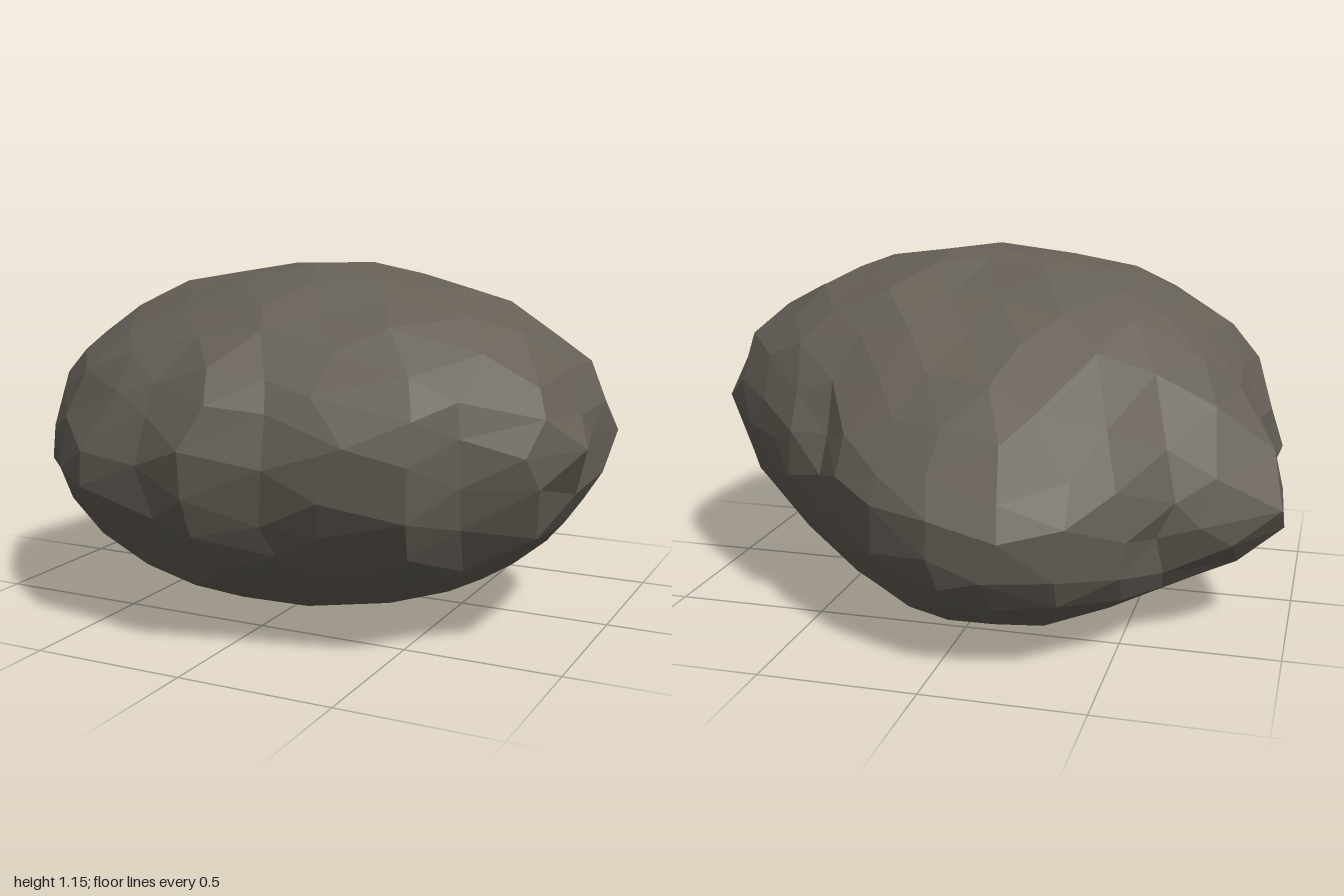
import * as THREE from 'three';

// Plan outline of the main mass at its widest, as [x, z]
const outline = [
  [-0.13, -0.95], [0.08, -0.88], [0.3, -0.77], [0.45, -0.59], [0.64, -0.49], [0.72, -0.4], [0.89, -0.22],
  [0.99, -0.1], [0.96, 0.2], [1.01, 0.37], [0.92, 0.5], [0.74, 0.65], [0.66, 0.79], [0.36, 0.87],
  [0.17, 0.88], [0.02, 0.95], [-0.22, 0.88], [-0.43, 0.85], [-0.58, 0.77], [-0.71, 0.61], [-0.84, 0.48],
  [-0.93, 0.36], [-0.88, 0.1], [-0.86, -0.08], [-0.82, -0.28], [-0.73, -0.42], [-0.6, -0.56], [-0.51, -0.81],
];
const TAU = Math.PI * 2;
const polar = outline
  .map(([x, z]) => ({ a: (Math.atan2(z, x) + TAU) % TAU, r: Math.hypot(x, z) }))
  .sort((p, q) => p.a - q.a);

// Outline radius at an angle, interpolated between neighbouring points
function planRadius(angle) {
  const a = (angle + TAU) % TAU;
  const n = polar.length;
  const i = Math.max(0, polar.findIndex((p) => p.a > a));
  const q = polar[i], p = polar[(i + n - 1) % n];
  const t = ((a - p.a + TAU) % TAU) / ((q.a - p.a + TAU) % TAU);
  return p.r + (q.r - p.r) * t;
}

// Repeatable jitter from a direction, -1 to 1, identical for shared corners
function jitter(d, seed) {
  const k = Math.round(d.x * 500) * 12.9898 + Math.round(d.y * 500) * 78.233 + Math.round(d.z * 500) * 37.719;
  const s = Math.sin(k + seed * 91.7) * 43758.5453;
  return (s - Math.floor(s)) * 2 - 1;
}

// Soft weight around a centre value
const bell = (v, centre, width) => Math.exp(-(((v - centre) / width) ** 2));

// Maps a direction on the unit sphere to the rock surface
function rockPoint(d) {
  const j = new THREE.Vector3(jitter(d, 1), jitter(d, 2), jitter(d, 3)).multiplyScalar(0.04);
  const v = d.clone().add(j).normalize();
  const angle = (Math.atan2(v.z, v.x) + TAU) % TAU;
  const cos = Math.cos(angle), sin = Math.sin(angle);
  const back = Math.max(0, -sin) ** 2;
  const right = Math.max(0, -cos) ** 2;
  const s = Math.abs(v.y), c = Math.hypot(v.x, v.z);
  const waist = 0.54 + 0.1 * cos + 0.06 * sin;
  const blend = s ** 4;
  const plan = planRadius(angle) * (1 - blend) + 0.93 * blend;

  // Back slopes from the crown; the front right corner is cut away below
  const undercut = bell(angle, 2.6, 0.4);
  const power = v.y > 0 ? 2 - 0.65 * back + 0.3 * right : 2 + 0.5 * back - 0.55 * undercut;
  let radius = plan * c ** (2 / power);
  const rise = s ** (2 / power);
  let y = v.y > 0 ? waist + (1.16 - waist) * rise : waist * (1 - rise);

  // Low knob on the right side
  radius += 0.18 * bell(angle, 3.45, 0.27) * bell(y, 0.43, 0.27) * c;

  radius *= 1 + 0.012 * jitter(d, 4);
  y += 0.012 * jitter(d, 5);

  // Crown leans forward and left
  const lean = v.y > 0 ? rise ** 3 : 0;
  const x = cos * radius + 0.07 * lean;
  const z = sin * radius + 0.08 * lean;

  // Hollow running across the underside
  return new THREE.Vector3(x, Math.max(y, 0.11 * bell(z, -0.12, 0.18)), z);
}

export function createModel() {
  const group = new THREE.Group();
  group.name = 'boulder';
  const stone = new THREE.MeshStandardMaterial({ color: 0x666057, flatShading: true });
  stone.name = 'dark grey stone';

  // Faceted rock
  const geometry = new THREE.IcosahedronGeometry(1, 4);
  const pos = geometry.attributes.position;
  const d = new THREE.Vector3();
  for (let i = 0; i < pos.count; i++) {
    const p = rockPoint(d.fromBufferAttribute(pos, i).normalize());
    pos.setXYZ(i, p.x, p.y, p.z);
  }
  geometry.computeVertexNormals();

  const rock = new THREE.Mesh(geometry, stone);
  rock.name = 'rock';
  group.add(rock);
  return group;
}
